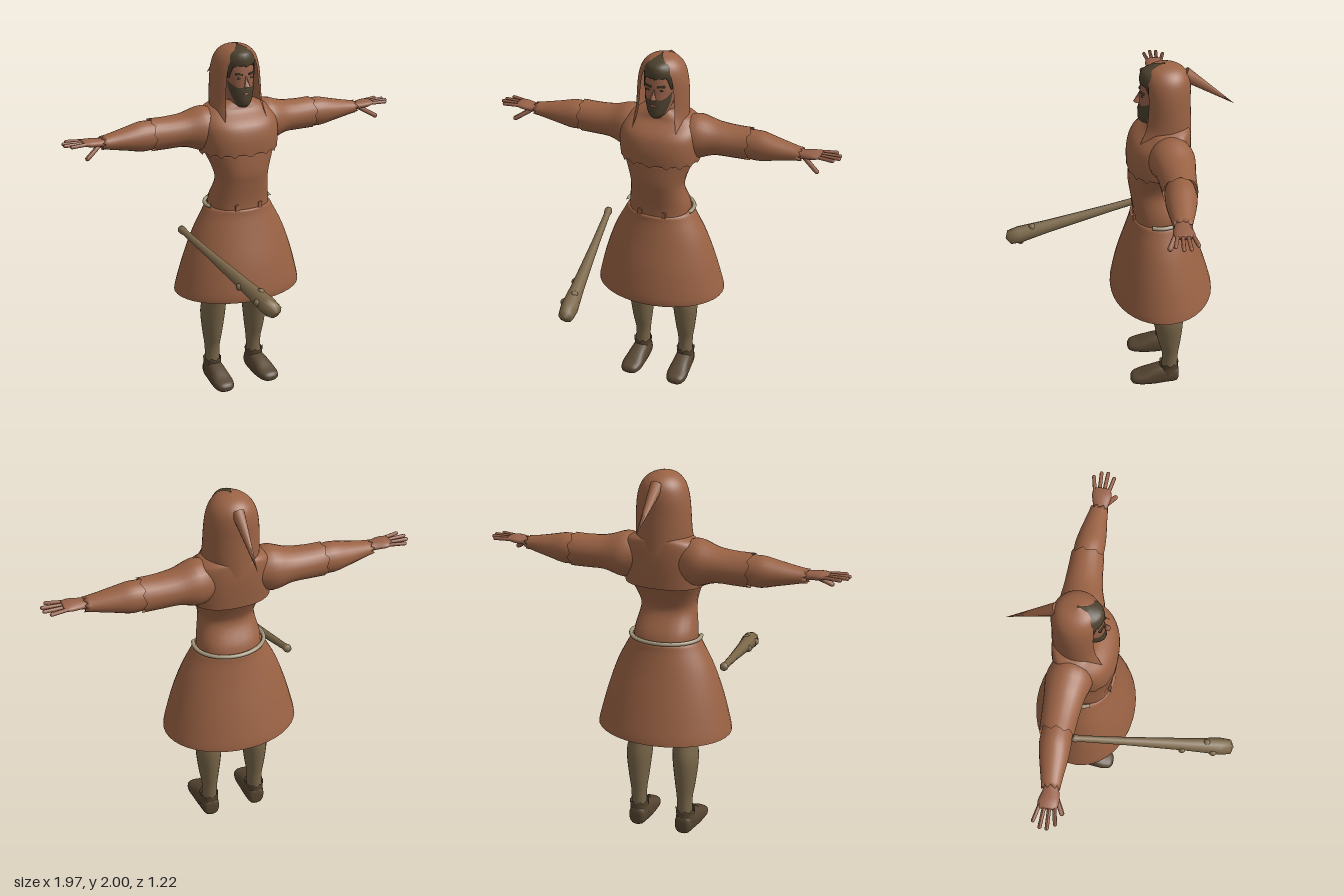
import * as THREE from 'three';

const material = (name, color, extra = {}) => {
  const m = new THREE.MeshStandardMaterial({ color, ...extra });
  m.name = name;
  return m;
};

// Smooth loft through rings [t, u, v, ru, rv, gap]; gap leaves an opening at angle 0.
function loft(rings, { axis = 'y', seg = 24, sub = 4, cap = true, power = 1, gap = false, warp } = {}) {
  const pos = [], idx = [], rows = (rings.length - 1) * sub, cols = gap ? seg + 1 : seg;
  const pw = (n) => Math.sign(n) * Math.abs(n) ** power;
  const at = (i) => rings[Math.max(0, Math.min(rings.length - 1, i))];
  const place = (x, y, z) => axis === 'y' ? [x, y, z] : axis === 'x' ? [y, z, x] : [z, x, y];
  const ringAt = (r) => {
    const i = Math.min(Math.floor(r / sub), rings.length - 2), f = r / sub - i;
    return at(i).map((b, k) => {
      const a = at(i - 1)[k], c = at(i + 1)[k], d = at(i + 2)[k];
      return b + 0.5 * f * (c - a + f * (2 * a - 5 * b + 4 * c - d + f * (3 * (b - c) + d - a)));
    });
  };
  for (let r = 0; r <= rows; r++) {
    const [t, u, v, ru, rv, g = 0] = ringAt(r);
    for (let j = 0; j < cols; j++) {
      const a = g + (2 * Math.PI - 2 * g) * j / seg;
      const p = new THREE.Vector3(...place(u + ru * pw(Math.sin(a)), t, v + rv * pw(Math.cos(a))));
      if (warp) warp(p, a, r / rows, j);
      pos.push(p.x, p.y, p.z);
    }
  }
  for (let r = 0; r < rows; r++) for (let j = 0; j < seg; j++) {
    const k = (j + 1) % cols, a = r * cols + j, b = r * cols + k;
    idx.push(a, b, b + cols, a, b + cols, a + cols);
  }
  if (cap) for (const r of [0, rows]) {
    const [t, u, v] = ringAt(r), c = pos.length / 3;
    pos.push(...place(u, t, v));
    for (let j = 0; j < cols; j++) {
      const a = r * cols + j, b = r * cols + (j + 1) % cols;
      idx.push(...(r ? [a, b, c] : [b, a, c]));
    }
  }
  const geo = new THREE.BufferGeometry();
  geo.setAttribute('position', new THREE.Float32BufferAttribute(pos, 3));
  geo.setIndex(idx);
  geo.computeVertexNormals();
  return geo;
}

// Reflects a geometry across x and keeps its faces outward.
function mirror(geo) {
  const g = geo.clone().scale(-1, 1, 1);
  g.index.array.reverse();
  g.computeVertexNormals();
  return g;
}

// Turns a geometry built up the y axis so that it runs from a to b.
function aim(geo, a, b, centred = true) {
  const A = new THREE.Vector3(...a), B = new THREE.Vector3(...b);
  geo.applyQuaternion(new THREE.Quaternion().setFromUnitVectors(
    new THREE.Vector3(0, 1, 0), B.clone().sub(A).normalize()));
  const o = centred ? A.add(B).multiplyScalar(0.5) : A;
  return geo.translate(o.x, o.y, o.z);
}
const finger = (a, b, r) =>
  aim(new THREE.CapsuleGeometry(r, new THREE.Vector3(...a).distanceTo(new THREE.Vector3(...b)), 4, 8), a, b);
const ellipsoid = (x, y, z, rx, ry, rz) => new THREE.SphereGeometry(1, 12, 8).scale(rx, ry, rz).translate(x, y, z);

export function createModel() {
  const model = new THREE.Group();
  const cloth = material('russet cloth', 0x9a6244, { side: THREE.DoubleSide });
  const skin = material('skin', 0x98624a);
  const hose = material('olive hose', 0x776548);
  const leather = material('dark leather', 0x554430, { side: THREE.DoubleSide });
  const hair = material('dark hair', 0x4c402d, { side: THREE.DoubleSide });
  const rope = material('pale rope', 0xa89a80);
  const wood = material('club wood', 0x7c684a);
  const add = (name, geo, mat) => {
    const m = new THREE.Mesh(geo, mat);
    m.name = name;
    model.add(m);
    return m;
  };
  const pair = (name, geo, mat) => {
    add('left' + name, geo, mat);
    add('right' + name, mirror(geo), mat);
  };

  // Tunic, mantle with a torn front hem, and flared skirt
  add('tunic', loft([
    [1.08, 0, -0.235, 0.17, 0.145], [1.15, 0, -0.225, 0.168, 0.135], [1.25, 0, -0.188, 0.15, 0.113],
    [1.32, 0, -0.19, 0.157, 0.125], [1.43, 0, -0.22, 0.2, 0.15]], { power: 0.85 }), cloth);
  add('mantle', loft([
    [1.41, 0, -0.222, 0.215, 0.165], [1.5, 0, -0.224, 0.224, 0.167], [1.58, 0, -0.236, 0.22, 0.155],
    [1.64, 0, -0.267, 0.195, 0.118], [1.67, 0, -0.27, 0.14, 0.105], [1.7, 0, -0.25, 0.07, 0.07]], {
    seg: 64, cap: false, power: 0.85,
    warp: (p, a, s, j) => { if (s === 0 && Math.cos(a) > 0) p.y += [0, 0.02, 0.035, 0.012][j % 4]; },
  }), cloth);
  add('skirt', loft([
    [0.6, 0, -0.255, 0.37, 0.285], [0.65, 0, -0.25, 0.36, 0.28], [0.8, 0, -0.242, 0.32, 0.242],
    [0.95, 0, -0.238, 0.267, 0.195], [1.06, 0, -0.236, 0.21, 0.163], [1.1, 0, -0.235, 0.186, 0.155],
    [1.101, 0, -0.235, 0.16, 0.135]], { seg: 40, cap: false }), cloth);

  // Rope round the back of the waist and small loops in front
  const ropePath = Array.from({ length: 17 }, (_, i) => {
    const a = Math.PI * (0.4 + 1.2 * i / 16);
    return new THREE.Vector3(0.19 * Math.sin(a), 1.113, -0.235 + 0.155 * Math.cos(a));
  });
  add('waistRope', new THREE.TubeGeometry(new THREE.CatmullRomCurve3(ropePath), 48, 0.011, 8), rope);
  for (const x of [-0.07, 0.07])
    add('beltLoop', new THREE.BoxGeometry(0.022, 0.035, 0.012).translate(x, 1.115, -0.096), cloth);

  // Sleeves, forearms and hands
  const torn = (edge) => (p, a, s, j) => { if (s === edge) p.x += (j % 3) * 0.009; };
  pair('Sleeve', loft([
    [0.12, -0.27, 1.55, 0.1, 0.1], [0.2, -0.275, 1.545, 0.12, 0.122], [0.3, -0.285, 1.545, 0.103, 0.092],
    [0.4, -0.29, 1.541, 0.093, 0.087], [0.48, -0.292, 1.541, 0.088, 0.088]],
  { axis: 'x', cap: false, warp: torn(1) }), cloth);
  pair('Forearm', loft([
    [0.46, -0.29, 1.541, 0.075, 0.075], [0.54, -0.29, 1.54, 0.08, 0.081], [0.62, -0.285, 1.54, 0.072, 0.064],
    [0.7, -0.28, 1.54, 0.058, 0.047], [0.76, -0.275, 1.541, 0.048, 0.035]],
  { axis: 'x', warp: torn(1) }), cloth);
  pair('Palm', loft([
    [0.74, -0.275, 1.543, 0.034, 0.025], [0.79, -0.27, 1.547, 0.042, 0.022], [0.84, -0.272, 1.552, 0.052, 0.021],
    [0.88, -0.275, 1.556, 0.046, 0.013]], { axis: 'x', seg: 16 }), skin);
  [[0.95, -0.222], [0.975, -0.258], [0.972, -0.293], [0.945, -0.33]].forEach(([x, z], i) =>
    pair('Finger', finger([0.86, 1.555, -0.24 - i * 0.024], [x, 1.557, z], 0.01), skin));
  pair('Thumb', finger([0.79, 1.54, -0.25], [0.875, 1.49, -0.205], 0.013), skin);

  // Legs and shoes
  pair('Leg', loft([
    [0.09, 0.137, -0.305, 0.042, 0.046], [0.2, 0.135, -0.307, 0.043, 0.047], [0.3, 0.136, -0.3, 0.056, 0.066],
    [0.43, 0.135, -0.292, 0.069, 0.084], [0.52, 0.128, -0.28, 0.064, 0.086], [0.6, 0.124, -0.268, 0.064, 0.088],
    [0.8, 0.112, -0.25, 0.085, 0.108], [1, 0.085, -0.235, 0.085, 0.11]]), hose);
  pair('Shoe', loft([
    [-0.36, 0.045, 0.135, 0.03, 0.025], [-0.345, 0.05, 0.136, 0.055, 0.045], [-0.28, 0.05, 0.137, 0.066, 0.052],
    [-0.21, 0.04, 0.14, 0.058, 0.056], [-0.14, 0.03, 0.143, 0.036, 0.06], [-0.095, 0.025, 0.145, 0.025, 0.046],
    [-0.08, 0.022, 0.145, 0.01, 0.02]],
  { axis: 'z', seg: 20, power: 0.8, warp: (p) => { p.y = Math.max(p.y, 0); } }), leather);
  pair('ShoeCuff', loft([
    [0.06, 0.137, -0.3, 0.054, 0.058], [0.1, 0.137, -0.302, 0.05, 0.054], [0.125, 0.137, -0.303, 0.053, 0.055]],
  { cap: false, warp: (p, a, s, j) => { if (s === 1) p.y += (j % 3) * 0.008; } }), leather);

  // Head, features, hair and beard
  add('neck', new THREE.CylinderGeometry(0.06, 0.075, 0.14, 20).translate(0, 1.68, -0.235), skin);
  add('head', loft([
    [1.675, 0, -0.195, 0.035, 0.06], [1.695, 0, -0.205, 0.054, 0.082], [1.74, 0, -0.21, 0.07, 0.09],
    [1.8, 0, -0.215, 0.08, 0.093], [1.86, 0, -0.22, 0.085, 0.096], [1.92, 0, -0.23, 0.08, 0.095],
    [1.965, 0, -0.24, 0.05, 0.07]]), skin);
  add('beard', loft([
    [1.67, 0, -0.19, 0.03, 0.06], [1.692, 0, -0.2, 0.055, 0.085], [1.735, 0, -0.208, 0.073, 0.094],
    [1.78, 0, -0.214, 0.081, 0.096]], {
    warp: (p, a, s) => { p.y += s * 0.05 * Math.min(1, Math.max(0, 1.1 - 1.3 * Math.cos(a))); },
    cap: false }), hair);
  add('mouth', ellipsoid(0, 1.746, -0.117, 0.02, 0.006, 0.006), skin);
  add('hair', loft([
    [1.89, 0, -0.222, 0.088, 0.1], [1.93, 0, -0.228, 0.09, 0.108], [1.965, 0, -0.235, 0.068, 0.098],
    [1.985, 0, -0.24, 0.03, 0.04]], {
    warp: (p, a, s, j) => { if (s === 0) p.y += Math.cos(a) > 0.6 ? (j % 3) * 0.01 : -0.06; } }), hair);
  const nose = new THREE.ConeGeometry(0.017, 0.065, 6).rotateX(-0.25).translate(0, 1.815, -0.115);
  add('nose', nose, skin);
  for (const s of [-1, 1]) {
    add('eyebrow', new THREE.BoxGeometry(0.042, 0.009, 0.009)
      .rotateZ(s * 0.08).rotateY(s * 0.4).translate(s * 0.037, 1.853, -0.131), hair);
    add('eye', ellipsoid(s * 0.035, 1.832, -0.133, 0.014, 0.005, 0.005), leather);
    add('ear', ellipsoid(s * 0.083, 1.82, -0.225, 0.012, 0.03, 0.02), skin);
  }

  // Open hood with its trailing point
  add('hood', loft([
    [1.6, 0, -0.215, 0.148, 0.178, 1.0], [1.68, 0, -0.25, 0.146, 0.14, 0.8], [1.8, 0, -0.257, 0.142, 0.127, 0.74],
    [1.88, 0, -0.257, 0.132, 0.125, 0.7], [1.94, 0, -0.255, 0.11, 0.112, 0.62], [1.98, 0, -0.25, 0.068, 0.075, 0.5],
    [2, 0, -0.245, 0.004, 0.004, 0.1]], { seg: 36, gap: true, cap: false }), cloth);
  add('hoodPoint', aim(new THREE.ConeGeometry(0.04, 0.32, 8).scale(0.85, 1, 1),
    [0, 1.935, -0.35], [0, 1.757, -0.61]), cloth);

  // Wooden club with knots
  const profile = [[0, 0], [0.02, 0.003], [0.023, 0.02], [0.018, 0.05], [0.023, 0.3], [0.036, 0.65],
    [0.048, 0.83], [0.041, 0.89], [0, 0.91]].map(([r, y]) => new THREE.Vector2(r, y));
  add('club', aim(new THREE.LatheGeometry(profile, 9), [-0.335, 0.985, -0.27], [-0.2, 0.805, 0.61], false), wood);
  for (const [x, y, z] of [[-0.27, 0.855, 0.33], [-0.215, 0.865, 0.46], [-0.21, 0.778, 0.53], [-0.255, 0.83, 0.5]])
    add('clubKnot', new THREE.IcosahedronGeometry(0.021, 1).translate(x, y, z), wood);

  return model;
}
